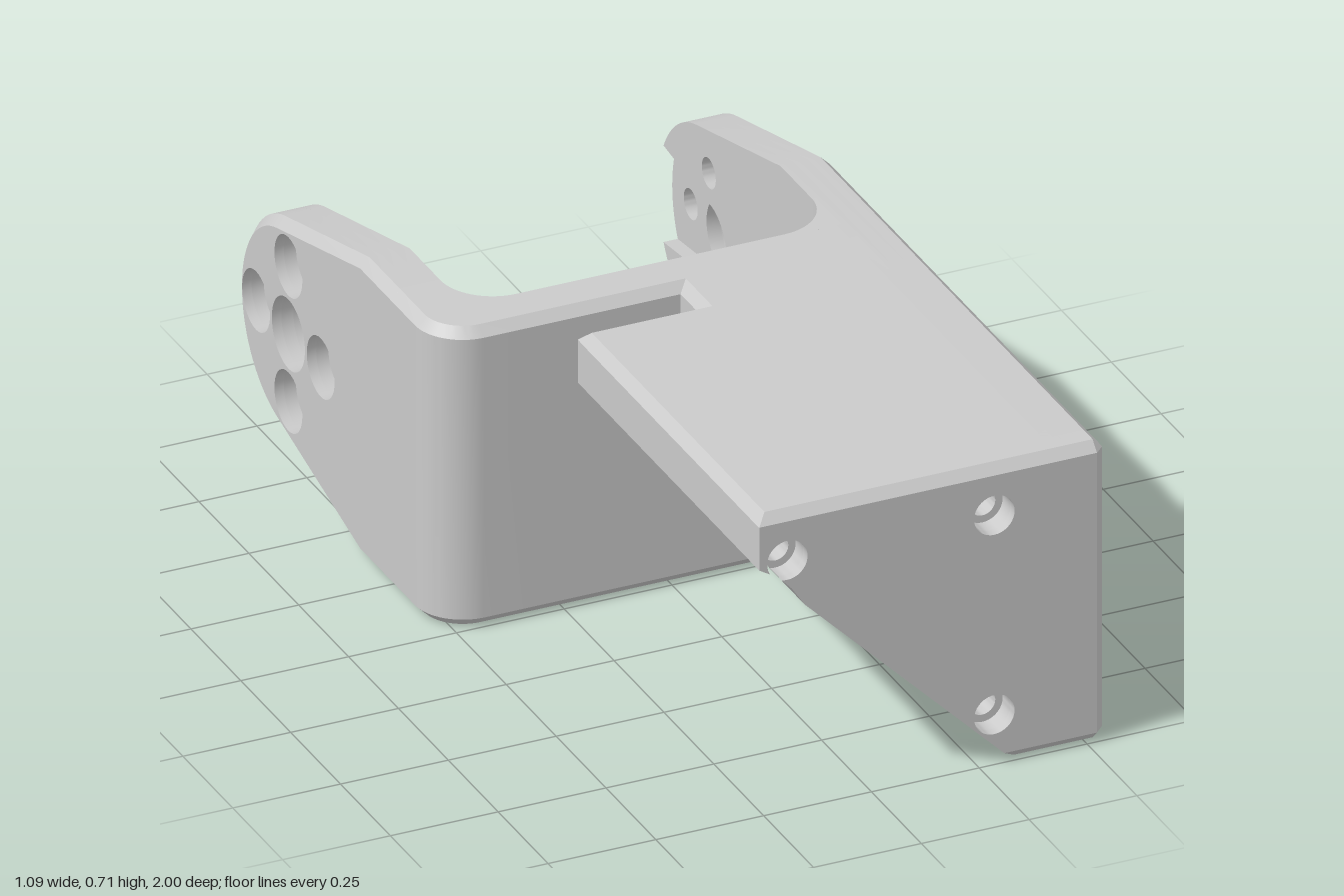
import * as THREE from 'three';
import { toCreasedNormals } from 'three/addons/utils/BufferGeometryUtils.js';

const H = 0.715, MID = H / 2, C = 0.022;          // height, mid height, chamfer
const HUB = 0.745, HUB_R = 0.255;                 // rounded arm end
const V = (x, y) => new THREE.Vector2(x, y);

// Points along an arc, angles in degrees
function arc(cx, cy, r, a0, a1, n = 16) {
  return Array.from({ length: n + 1 }, (_, i) => {
    const a = THREE.MathUtils.degToRad(a0 + (a1 - a0) * i / n);
    return V(cx + r * Math.cos(a), cy + r * Math.sin(a));
  });
}
const circle = (cx, cy, r) => arc(cx, cy, r, 0, 350, 35);

// Directions (u, v, h) in which slabs are drawn and stacked
const basis = (u, v, h) => new THREE.Matrix4().makeBasis(
  new THREE.Vector3(...u), new THREE.Vector3(...v), new THREE.Vector3(...h));
const RIGHTWARD = basis([0, 0, -1], [0, 1, 0], [1, 0, 0]);
const LEFTWARD = basis([0, 0, -1], [0, 1, 0], [-1, 0, 0]);
const FORWARD = new THREE.Matrix4();
const UPWARD = basis([1, 0, 0], [0, 0, 1], [0, 1, 0]);

// Slab between outline a at h0 and outline b at h1, with straight holes
function slab(dir, a, b, h0, h1, holes = []) {
  const flip = dir.determinant() < 0;
  if (THREE.ShapeUtils.area(a) < 0) { a = [...a].reverse(); b = [...b].reverse(); }
  const cuts = holes.map(h => THREE.ShapeUtils.area(h) > 0 ? [...h].reverse() : h);
  const out = [];
  const tri = (p, q, r) => {
    for (const t of flip ? [p, r, q] : [p, q, r]) out.push(...t);
  };
  const at = (p, h) => [p.x, p.y, h];
  const wall = (lo, hi) => lo.forEach((p, i) => {
    const j = (i + 1) % lo.length;
    tri(at(p, h0), at(lo[j], h0), at(hi[j], h1));
    tri(at(p, h0), at(hi[j], h1), at(hi[i], h1));
  });
  const cap = (ring, h, up) => {
    const pts = [ring, ...cuts].flat();
    for (const [i, j, k] of THREE.ShapeUtils.triangulateShape([...ring], cuts)) {
      const ccw = THREE.ShapeUtils.area([pts[i], pts[j], pts[k]]) > 0;
      const [p, q, r] = [i, j, k].map(n => at(pts[n], h));
      if (ccw === up) tri(p, q, r); else tri(p, r, q);
    }
  };
  wall(a, b);
  cuts.forEach(c => wall(c, c));
  cap(a, h0, false);
  cap(b, h1, true);
  const g = new THREE.BufferGeometry();
  g.setAttribute('position', new THREE.Float32BufferAttribute(out, 3));
  g.applyMatrix4(dir);
  return toCreasedNormals(g, 0.5);
}

export function createModel() {
  const grey = new THREE.MeshStandardMaterial({ color: 0xcacaca });
  grey.name = 'grey plastic';
  const model = new THREE.Group();
  model.name = 'bracket';
  const part = (name) => {
    const g = new THREE.Group();
    g.name = name;
    model.add(g);
    return (label, ...args) => {
      const m = new THREE.Mesh(slab(...args), grey);
      m.name = label;
      g.add(m);
    };
  };

  // Side arm outline; front = z of its front end, slot = horn recess open at the tip
  function armOutline(front, inset, slot) {
    const cut = front > 0 ? Math.max(C - inset, 0.0005) : 0.0001;
    const f = front > 0 ? -front + inset : -front;
    const r = HUB_R - inset;
    const tip = slot
      ? [...arc(HUB, MID, r, -76, -27), ...arc(HUB, MID, 0.09, -85, -275), ...arc(HUB, MID, r, 27, 76)]
      : arc(HUB, MID, r, -76, 76, 30);
    return [V(f, inset + cut), V(f + cut, inset), V(0.385, inset), ...tip,
      V(0.385, H - inset), V(f + cut, H - inset), V(f, H - inset - cut)];
  }

  // Arms: recessed inner layer, screw holes, counterbores, chamfered outer face
  function arm(name, dir, front) {
    const add = part(name);
    const d = 0.162;
    const spots = [[0, d], [0, -d], [-d, 0], [d, 0]];
    const bolts = (r) => spots.map(([u, v]) => circle(HUB + u, MID + v, r));
    const hub = circle(HUB, MID, 0.083);
    const full = armOutline(front, 0), small = armOutline(front, C);
    const recessed = armOutline(front, 0, true);
    add('recessLayer', dir, recessed, recessed, 0.43, 0.463, bolts(0.035).slice(0, 3));
    add('screwLayer', dir, full, full, 0.463, 0.495, [hub, ...bolts(0.035)]);
    add('counterboreLayer', dir, full, full, 0.495, 0.545 - C, [hub, ...bolts(0.07)]);
    add('chamferedFace', dir, full, small, 0.545 - C, 0.545, [hub, ...bolts(0.07)]);
  }
  arm('leftArmAndSide', RIGHTWARD, 1);
  arm('rightArm', LEFTWARD, -0.23);

  // Cross web between the arms
  const web = part('crossWeb');
  const rect = (i) => [V(-0.31, i), V(0.44, i), V(0.44, H - i), V(-0.31, H - i)];
  web('webCore', FORWARD, rect(0), rect(0), -0.11, -C);
  web('webFront', FORWARD, rect(0), rect(C), -C, 0);

  // Rounded corner joining web and right arm
  const corner = (i) => [V(-0.545 + i, -0.23), ...arc(-0.435, -0.11, 0.11 - i, 180, 90),
    V(-0.31, -i), ...arc(-0.31, -0.23, 0.12, 90, 180)];
  const bend = part('roundedCorner');
  bend('cornerBottom', UPWARD, corner(C), corner(0), 0, C);
  bend('cornerCore', UPWARD, corner(0), corner(0), C, H - C);
  bend('cornerTop', UPWARD, corner(0), corner(C), H - C, H);

  // Inner fillet at the left arm, with two round-ended scoops level with the web
  const SCOOP_X = 0.365, SCOOP_R = 0.062;
  const fillet = part('innerFillet');
  const filletAt = (c) => [V(c, -0.11), V(c, -0.1), V(0.44, -0.1), V(0.44, -0.23),
    ...arc(0.31, -0.23, 0.12, 0, THREE.MathUtils.radToDeg(Math.acos((c - 0.31) / 0.12)))];
  const plain = filletAt(0.3101);
  let y = 0;
  for (const yc of [0.12, 0.6]) {
    fillet('filletPlain', UPWARD, plain, plain, y, yc - SCOOP_R);
    const n = 16;
    const level = (i) => yc - SCOOP_R * Math.cos(Math.PI * i / n);
    const scoop = (i) => filletAt(SCOOP_X + SCOOP_R * Math.sin(Math.PI * i / n));
    for (let i = 0; i < n; i++) {
      fillet('filletScoop', UPWARD, scoop(i), scoop(i + 1), level(i), level(i + 1));
    }
    y = yc + SCOOP_R;
  }
  fillet('filletPlain', UPWARD, plain, plain, y, H);

  // Front block with a slanted underside; top and bottom inset make its chamfers
  const edge = [V(-0.215, 0.563)];
  const notch = arc(-0.195, 0.6, 0.047, 212, -106, 28);
  const channel = arc(-0.195, 0.6, 0.058, 201, -111, 28);
  const blockOutline = (top, bottom, under) => [
    V(0.45, bottom), V(0.45, H - top), V(-0.26 + C - top, H - top), V(-0.26, H - C - 0.001),
    V(-0.26, 0.59), ...under, V(-0.185, 0.53), V(-0.155, 0.485),
    V(0.32 - bottom, 0.01 + bottom), V(0.34 - 1.45 * bottom, bottom)];
  const body = blockOutline(0, 0, edge);
  const grooved = blockOutline(0, 0, channel);
  const bored = blockOutline(0, 0, notch);
  const screws = [[0.285, 0.598], [0.285, 0.12], [-0.195, 0.6]];
  const bores = (r, n) => screws.slice(0, n).map(([x, v]) => circle(x, v, r));
  const block = part('frontBlock');
  block('slotChamfer', FORWARD, blockOutline(C, 0, channel), grooved, 0.09, 0.09 + C);
  block('blockCore', FORWARD, grooved, grooved, 0.09 + C, 0.88, bores(0.03, 2));
  block('screwLayer', FORWARD, body, body, 0.88, 0.94, bores(0.03, 3));
  block('counterboreLayer', FORWARD, bored, bored, 0.94, 1 - C, bores(0.047, 2));
  block('chamferedFront', FORWARD, bored, blockOutline(C, C, notch), 1 - C, 1, bores(0.047, 2));

  // Neck joining block and web beside the open slot
  const neck = [V(0.45, 0), V(0.45, H), V(0.02 + C, H), V(0.02, H - C), V(0.02, 0.31), V(0.32, 0.01), V(0.34, 0)];
  block('neck', FORWARD, neck, neck, -0.04, 0.12);

  return model;
}
